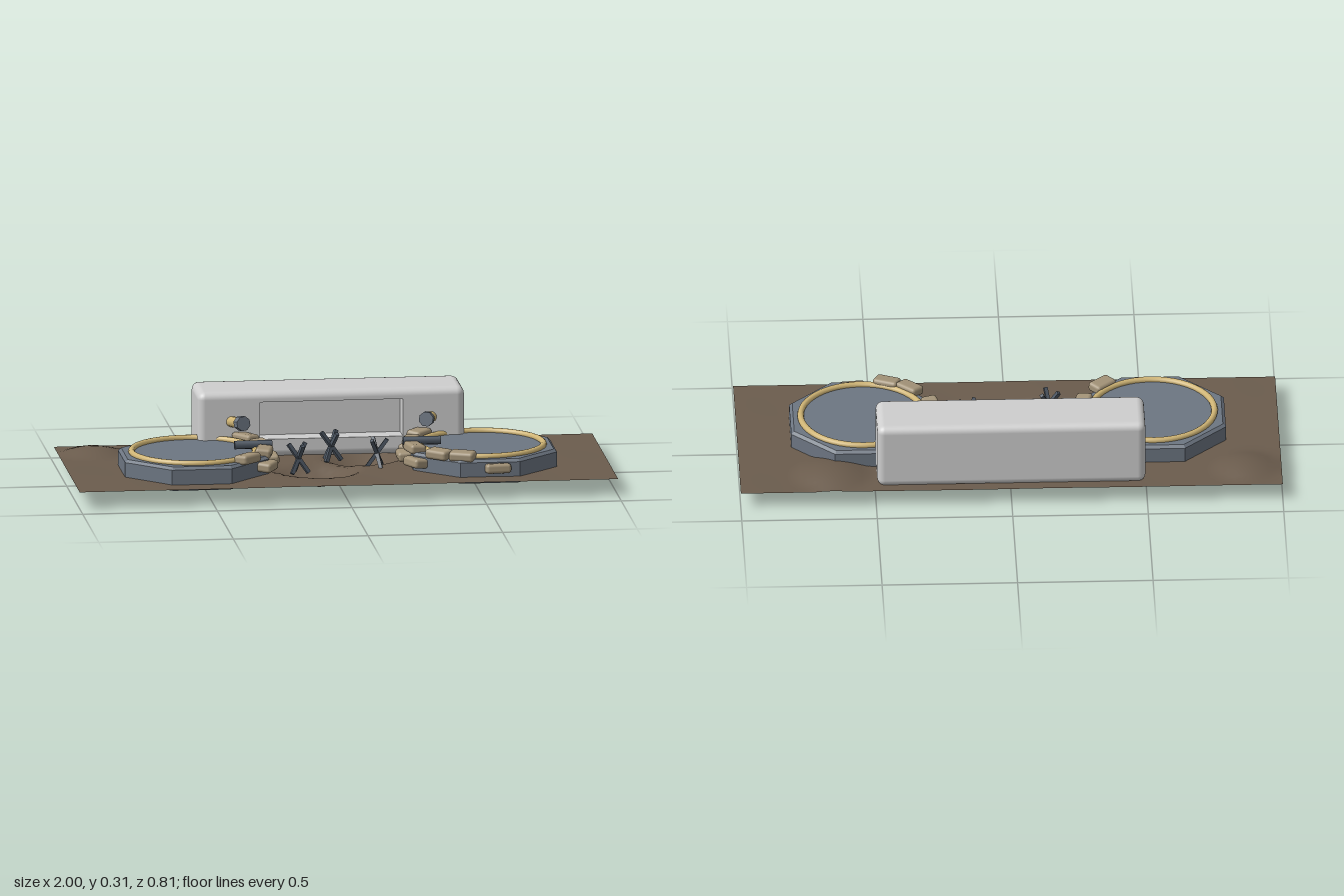
import * as THREE from 'three';
import { RoundedBoxGeometry } from 'three/addons/geometries/RoundedBoxGeometry.js';

const mat = (name, color, extra = {}) => new THREE.MeshStandardMaterial({ name, color, ...extra });

function add(parent, name, geometry, material, x = 0, y = 0, z = 0) {
  const mesh = new THREE.Mesh(geometry, material);
  mesh.name = name;
  mesh.position.set(x, y, z);
  parent.add(mesh);
  return mesh;
}

// Give every face its own normal
function faceted(geometry) {
  const g = geometry.toNonIndexed();
  g.computeVertexNormals();
  return g;
}

// Thin earth sheet: x, z, radius and height of each crater or mound
function groundGeometry() {
  const bumps = [
    [-0.08, 0.11, 0.155, -0.062], [0.11, -0.09, 0.15, -0.047], [-0.19, 0.06, 0.09, -0.025],
    [0.66, -0.27, 0.15, 0.032], [-0.87, -0.27, 0.13, 0.026],
  ];
  const g = new THREE.PlaneGeometry(2, 0.81, 80, 32).rotateX(-Math.PI / 2);
  const p = g.attributes.position;
  for (let i = 0; i < p.count; i++) {
    const x = p.getX(i), z = p.getZ(i);
    let y = 0.065;
    for (const [bx, bz, r, h] of bumps) {
      const d = Math.hypot(x - bx, z - bz) / r;
      if (d < 1) y += h * (1 - d * d) ** 1.3;
    }
    y += 0.003 * Math.sin(x * 9) * Math.cos(z * 11) * (1 - Math.abs(x));
    p.setY(i, Math.max(y, 0));
  }
  g.computeVertexNormals();
  return g;
}

// Rounded block whose flat front is swapped for a face with an opening
function wallGeometries(w, h, d, hole, depth) {
  const body = new RoundedBoxGeometry(w, h, d, 3, 0.028);
  body.clearGroups();
  body.computeBoundingBox();
  const zMax = body.boundingBox.max.z, p = body.attributes.position;
  const keep = { position: [], normal: [] };
  let fx = 0, fy = 0;
  for (let i = 0; i < p.count; i += 3) {
    const flat = [0, 1, 2].every((k) => p.getZ(i + k) > zMax - 1e-5);
    for (let k = i; k < i + 3; k++) {
      if (flat) {
        fx = Math.max(fx, p.getX(k));
        fy = Math.max(fy, p.getY(k));
      } else {
        for (const a of ['position', 'normal']) {
          const s = body.attributes[a];
          keep[a].push(s.getX(k), s.getY(k), s.getZ(k));
        }
      }
    }
  }
  const shell = new THREE.BufferGeometry();
  for (const a of ['position', 'normal']) shell.setAttribute(a, new THREE.Float32BufferAttribute(keep[a], 3));

  const rect = (T, x, y0, y1) => new T([[-x, y0], [x, y0], [x, y1], [-x, y1]].map((q) => new THREE.Vector2(...q)));
  const shape = rect(THREE.Shape, fx, -fy, fy);
  shape.holes.push(rect(THREE.Path, hole.x, hole.y0, hole.y1));
  const front = new THREE.ShapeGeometry(shape).translate(0, 0, zMax);

  // Recess: an inside-out box without its front side
  const box = new THREE.BoxGeometry(2 * hole.x, hole.y1 - hole.y0, depth);
  const idx = Array.from(box.index.array).filter((_, i) => i < 24 || i >= 30);
  for (let i = 0; i < idx.length; i += 3) [idx[i], idx[i + 1]] = [idx[i + 1], idx[i]];
  box.setIndex(idx);
  box.clearGroups();
  const recess = faceted(box).translate(0, (hole.y0 + hole.y1) / 2, zMax - depth / 2);
  return { shell, front, recess };
}

export function createModel() {
  const model = new THREE.Group();
  model.name = 'bunkerEmplacement';
  const earth = mat('earth brown', 0x6b5c4d, { side: THREE.DoubleSide });
  const concrete = mat('pale concrete', 0xcfcfcf);
  const steel = mat('steel grey', 0x6d7682);
  const darkSteel = mat('dark steel', 0x4c5662);
  const brass = mat('brass yellow', 0xd0b575);
  const sand = mat('sandbag tan', 0xa39378);

  add(model, 'ground', groundGeometry(), earth);

  // Bunker wall with a long recess in front
  const bunker = new THREE.Group();
  bunker.name = 'bunker';
  bunker.position.set(0, 0.185, -0.2575);
  model.add(bunker);
  const wall = wallGeometries(0.99, 0.248, 0.23, { x: 0.265, y0: -0.055, y1: 0.085 }, 0.08);
  add(bunker, 'wallShell', wall.shell, concrete);
  add(bunker, 'wallFront', wall.front, concrete);
  add(bunker, 'wallRecess', wall.recess, concrete);

  // Shared geometry for the two sides
  const R = 0.267 / Math.cos(Math.PI / 8);
  const padGeo = faceted(new THREE.LatheGeometry(
    [[0, 0.04], [R - 0.012, 0.04], [R, 0.05], [R, 0.12], [R - 0.012, 0.13], [0, 0.13]]
      .map((q) => new THREE.Vector2(...q)), 8).rotateY(Math.PI / 8));
  const ringGeo = new THREE.TorusGeometry(0.229, 0.012, 10, 48).rotateX(Math.PI / 2);
  const bagGeo = new RoundedBoxGeometry(0.06, 0.036, 0.095, 2, 0.012);
  // Angle around the pad, distance, height, yaw offset, tilt
  const upperBags = [[-38, 0.27, 0.142], [-13, 0.262, 0.138], [13, 0.262, 0.138], [46, 0.258, 0.14]];
  const lowerBags = [[-28, 0.285, 0.098], [0, 0.285, 0.1], [26, 0.288, 0.098]];

  for (const side of [-1, 1]) {
    const post = new THREE.Group();
    post.name = side > 0 ? 'leftGunPost' : 'rightGunPost';
    post.position.set(side * 0.535, 0, 0.047);
    model.add(post);
    add(post, 'pad', padGeo, steel);
    add(post, 'padRing', ringGeo, brass, 0, 0.134, 0);

    // Sandbags curve around the inner edge
    const extra = side > 0 ? [[67, 0.25, 0.14], [96, 0.268, 0.098]] : [];
    [...upperBags, ...lowerBags, ...extra].forEach(([deg, r, y], i) => {
      const a = THREE.MathUtils.degToRad(deg);
      const bag = add(post, 'sandbag', bagGeo, sand, -side * Math.cos(a) * r, y, Math.sin(a) * r);
      bag.rotation.set(0, side * a, (i % 2 ? 1 : -1) * 0.08);
    });

    // Short gun barrel lying across the bags
    const gun = add(post, 'gunBarrel', new THREE.CylinderGeometry(0.016, 0.016, 0.14, 8), darkSteel, -side * 0.222, 0.152, 0);
    gun.rotation.z = Math.PI / 2;

    // Lamp reaching forward from the wall
    const lamp = new THREE.Group();
    lamp.name = side > 0 ? 'leftWallCannon' : 'rightWallCannon';
    lamp.position.set(side * 0.374, 0.198, -0.155);
    const dir = new THREE.Vector3(-side * 0.3, 0.13, 1).normalize();
    lamp.quaternion.setFromUnitVectors(new THREE.Vector3(0, 1, 0), dir);
    model.add(lamp);
    add(lamp, 'cannonBarrel', new THREE.CylinderGeometry(0.02, 0.02, 0.14, 12), brass, 0, 0.035, 0);
    add(lamp, 'cannonMuzzle', faceted(new THREE.CylinderGeometry(0.028, 0.028, 0.032, 8)), steel, 0, 0.108, 0);
  }

  // Crossed-beam obstacles
  const beamGeo = new THREE.BoxGeometry(0.014, 0.13, 0.014);
  [[-0.155, 0.135, 0.3], [-0.01, -0.065, 0.5], [0.143, 0.075, 1.4]].forEach(([x, z, yaw]) => {
    const obstacle = new THREE.Group();
    obstacle.name = 'crossedObstacle';
    obstacle.position.set(x, 0.115, z);
    obstacle.rotation.y = yaw;
    model.add(obstacle);
    for (let i = 0; i < 3; i++) {
      const a = (i * 2 * Math.PI) / 3;
      const beam = add(obstacle, 'beam', beamGeo, darkSteel);
      beam.rotation.set(0.62 * Math.cos(a), 0, 0.62 * Math.sin(a));
    }
  });
  return model;
}
